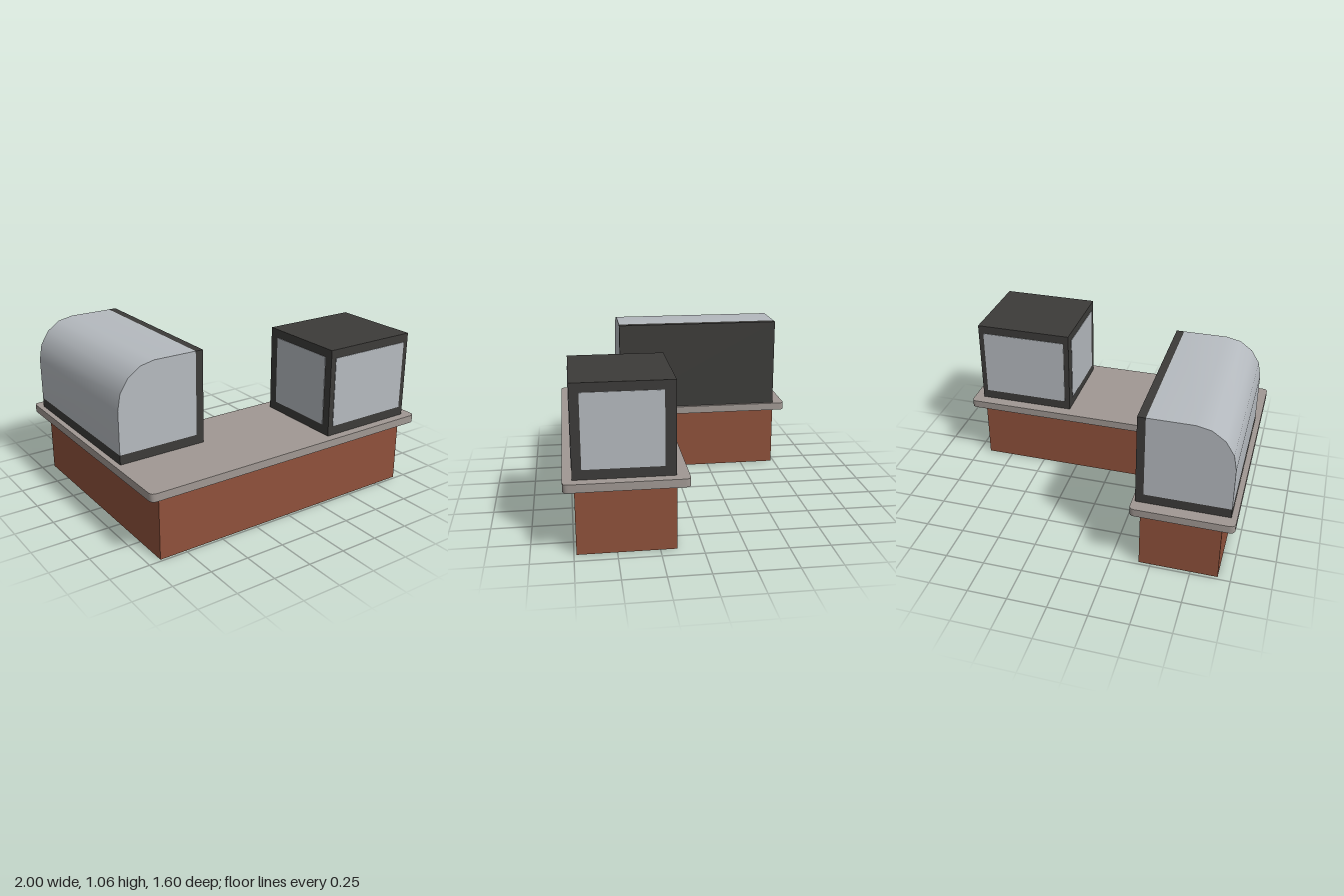
import * as THREE from 'three';
import { toCreasedNormals } from 'three/addons/utils/BufferGeometryUtils.js';

const paint = (color) => new THREE.MeshStandardMaterial({ color });

export function createModel() {
  const model = new THREE.Group();
  const brick = paint(0x8f513b), stone = paint(0xa09893);
  const dark = paint(0x3c3b39), glass = paint(0xb5babf);

  const add = (parent, name, geometry, material) => {
    const mesh = new THREE.Mesh(geometry, material);
    mesh.name = name;
    parent.add(mesh);
    return mesh;
  };
  // Box given by its minimum and maximum corners
  const box = (parent, name, material, [x0, y0, z0], [x1, y1, z1]) =>
    add(parent, name, new THREE.BoxGeometry(x1 - x0, y1 - y0, z1 - z0), material)
      .position.set((x0 + x1) / 2, (y0 + y1) / 2, (z0 + z1) / 2);

  // L-shaped slab; each corner is [x, z, rounding radius]
  const slab = (name, material, corners, y0, y1) => {
    const shape = new THREE.Shape();
    const pts = corners.map(([x, z]) => new THREE.Vector2(x, -z));
    pts.forEach((p, i) => {
      const r = corners[i][2];
      const prev = pts[(i + pts.length - 1) % pts.length], next = pts[(i + 1) % pts.length];
      const a = prev.clone().sub(p).setLength(r).add(p);
      const b = next.clone().sub(p).setLength(r).add(p);
      if (i === 0) shape.moveTo(a.x, a.y);
      else shape.lineTo(a.x, a.y);
      if (r > 0) shape.quadraticCurveTo(p.x, p.y, b.x, b.y);
    });
    shape.closePath();
    const g = new THREE.ExtrudeGeometry(shape, { depth: y1 - y0, bevelEnabled: false, curveSegments: 4 });
    g.rotateX(-Math.PI / 2).translate(0, y0, 0);
    add(model, name, toCreasedNormals(g, 0.7), material);
  };

  // Counter: brick base and overhanging rounded worktop
  const ell = (x, zBack, zFront, xInner, zInner, r) => [
    [-x, zFront, r], [x, zFront, r], [x, zInner, r], [xInner, zInner, 0], [xInner, zBack, r], [-x, zBack, r],
  ];
  slab('counterBase', brick, ell(0.92, -0.73, 0.735, -0.425, 0.15, 0), 0, 0.415);
  slab('worktop', stone, ell(1, -0.8, 0.8, -0.37, 0.08, 0.035), 0.415, 0.465);

  // Square display case with a pane on each side
  const squareCase = new THREE.Group();
  squareCase.name = 'squareDisplayCase';
  model.add(squareCase);
  box(squareCase, 'caseFrame', dark, [0.295, 0.465, 0.155], [0.935, 1.025, 0.745]);
  const e = 0.003;
  for (const [side, z] of [['front', 0.745], ['back', 0.155]])
    box(squareCase, side + 'Pane', glass, [0.33, 0.525, z - e], [0.9, 0.97, z + e]);
  for (const [side, x] of [['left', 0.935], ['right', 0.295]])
    box(squareCase, side + 'Pane', glass, [x - e, 0.525, 0.22], [x + e, 0.97, 0.69]);

  // Long display case: plinth, upright panel and curved glass hood
  const curvedCase = new THREE.Group();
  curvedCase.name = 'curvedDisplayCase';
  model.add(curvedCase);
  box(curvedCase, 'plinth', dark, [-0.965, 0.465, -0.72], [-0.44, 0.525, 0.38]);
  box(curvedCase, 'uprightPanel', dark, [-0.44, 0.465, -0.72], [-0.39, 1.06, 0.38]);
  const hood = new THREE.Shape();
  hood.moveTo(-0.965, 0.525);
  hood.lineTo(-0.44, 0.525);
  hood.lineTo(-0.44, 1.06);
  hood.lineTo(-0.72, 1.06);
  for (let i = 1; i <= 4; i++) {
    const t = Math.PI / 2 + (i * Math.PI) / 8;
    hood.lineTo(-0.72 + 0.245 * Math.cos(t), 0.8 + 0.26 * Math.sin(t));
  }
  hood.closePath();
  const hoodGeometry = new THREE.ExtrudeGeometry(hood, { depth: 1.1, bevelEnabled: false });
  hoodGeometry.translate(0, 0, -0.72);
  add(curvedCase, 'glassHood', toCreasedNormals(hoodGeometry, 0.7), glass);

  return model;
}
